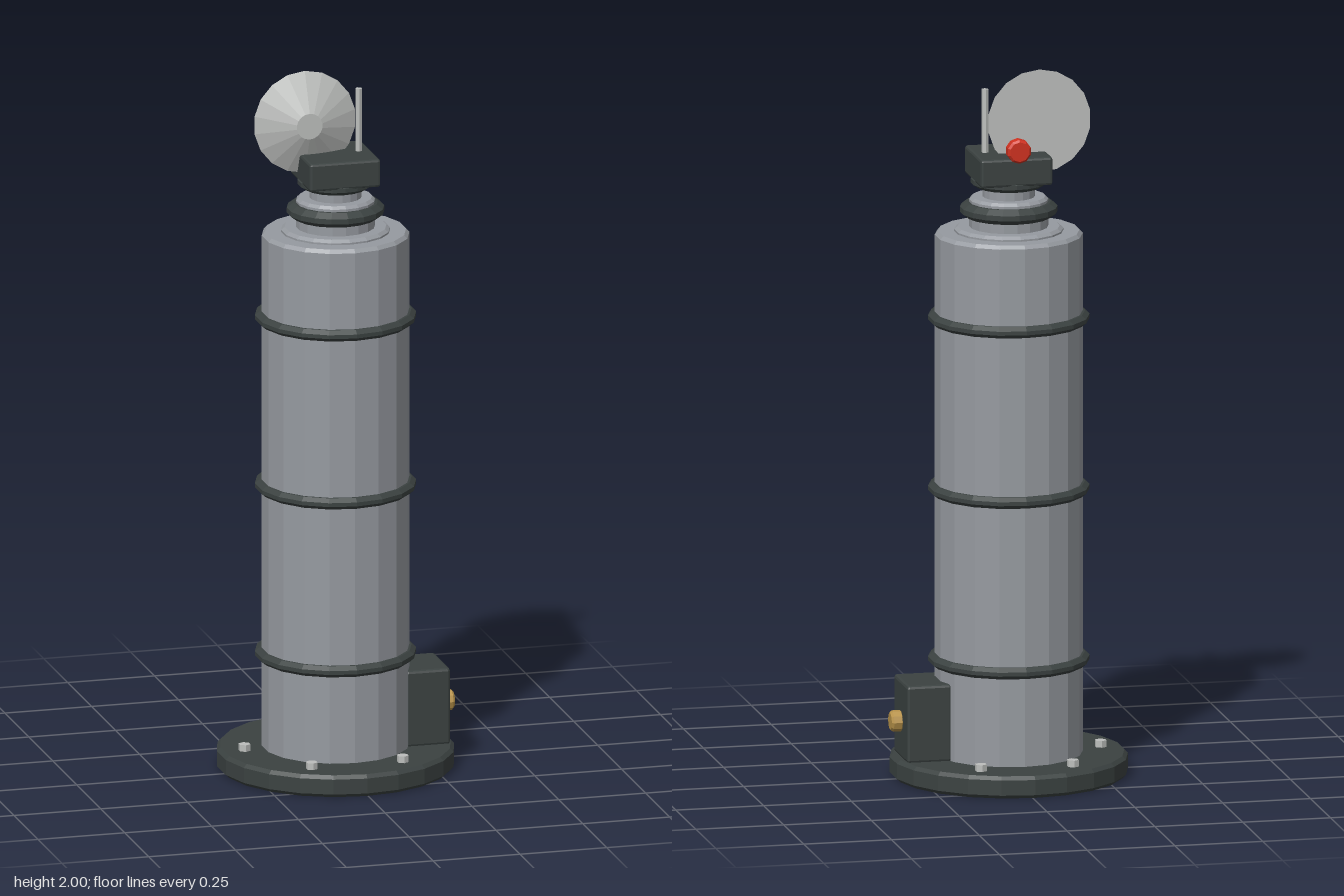
import * as THREE from 'three';
import { RoundedBoxGeometry } from 'three/addons/geometries/RoundedBoxGeometry.js';

function material(name, color) {
  const m = new THREE.MeshStandardMaterial({ color });
  m.name = name;
  m.flatShading = true;
  return m;
}

// Turned part from [radius, height] pairs, listed bottom to top
function turned(profile, sides) {
  return new THREE.LatheGeometry(profile.map(([r, y]) => new THREE.Vector2(r, y)), sides);
}

// Closed cylinder standing on y = 0 with chamfered rims
function chamfered(r, h, c, sides) {
  return turned([[0, 0], [r - c, 0], [r, c], [r, h - c], [r - c, h], [0, h]], sides);
}

// Band with a faceted, torus-like section, centred on y = 0
function band(inner, outer, half, sides) {
  const mid = (inner + outer) / 2;
  return turned([
    [inner, -half], [mid, -half], [outer, -half * 0.35],
    [outer, half * 0.35], [mid, half], [inner, half],
  ], sides);
}

export function createModel() {
  const darkMetal = material('darkMetal', 0x3b4241);
  const greyMetal = material('greyMetal', 0x969aa0);
  const paleMetal = material('paleMetal', 0xbcbebc);
  const red = material('red', 0xd03220);
  const brass = material('brass', 0xb8934a);

  const model = new THREE.Group();
  model.name = 'communicationTower';
  const tower = new THREE.Group();
  tower.name = 'tower';
  tower.position.x = -0.005;
  model.add(tower);

  function add(name, geometry, mat, x = 0, y = 0, z = 0) {
    const mesh = new THREE.Mesh(geometry, mat);
    mesh.name = name;
    mesh.position.set(x, y, z);
    tower.add(mesh);
  }

  // Base plate and its ring of bolts
  add('basePlate', chamfered(0.332, 0.063, 0.01, 22), darkMetal);
  for (let i = 0; i < 6; i++) {
    const a = i * Math.PI / 3;
    add('baseBolt', new THREE.CylinderGeometry(0.017, 0.017, 0.02, 6), paleMetal,
      Math.cos(a) * 0.262, 0.072, Math.sin(a) * 0.262);
  }

  // Main column with chamfered shoulder
  add('column', turned([
    [0, 0.06], [0.206, 0.06], [0.206, 1.535], [0.197, 1.545], [0, 1.545],
  ], 18), greyMetal);
  for (const y of [0.33, 0.815, 1.3]) {
    add('columnBand', band(0.2, 0.225, 0.016, 18), darkMetal, 0, y);
  }

  // Stepped neck
  add('neckFlange', turned([
    [0.152, 1.54], [0.152, 1.55], [0.142, 1.558], [0, 1.558],
  ], 18), greyMetal);
  add('lowerNeck', turned([
    [0.11, 1.55], [0.11, 1.635], [0.102, 1.643], [0, 1.643],
  ], 18), greyMetal);
  add('lowerCollar', band(0.1, 0.136, 0.021, 18), darkMetal, 0, 1.607);
  add('upperNeck', new THREE.CylinderGeometry(0.073, 0.073, 0.07, 18), greyMetal, 0, 1.665);
  add('upperCollar', band(0.07, 0.106, 0.018, 18), darkMetal, 0, 1.688);

  // Instrument head with whip antenna
  add('headBox', new RoundedBoxGeometry(0.204, 0.08, 0.208, 1, 0.007), darkMetal, 0, 1.73);
  add('antenna', new THREE.CylinderGeometry(0.01, 0.01, 0.19, 6), paleMetal, 0.067, 1.855);

  // Conical dish facing back, hub to the front
  const dish = turned([[0, -0.027], [0.147, -0.027], [0.037, 0.025], [0, 0.025]], 18);
  dish.rotateX(Math.PI / 2);
  add('dish', dish, paleMetal, -0.081, 1.857);

  // Signal lamp behind the head
  const lamp = chamfered(0.034, 0.037, 0.006, 10);
  lamp.rotateX(-Math.PI / 2);
  add('signalLamp', lamp, red, 0, 1.797, -0.103);

  // Control box on the side with a brass knob
  add('controlBox', new RoundedBoxGeometry(0.128, 0.22, 0.172, 1, 0.008), darkMetal, 0.244, 0.17);
  const knob = chamfered(0.03, 0.035, 0.006, 10);
  knob.rotateZ(-Math.PI / 2);
  add('knob', knob, brass, 0.303, 0.165);

  return model;
}
